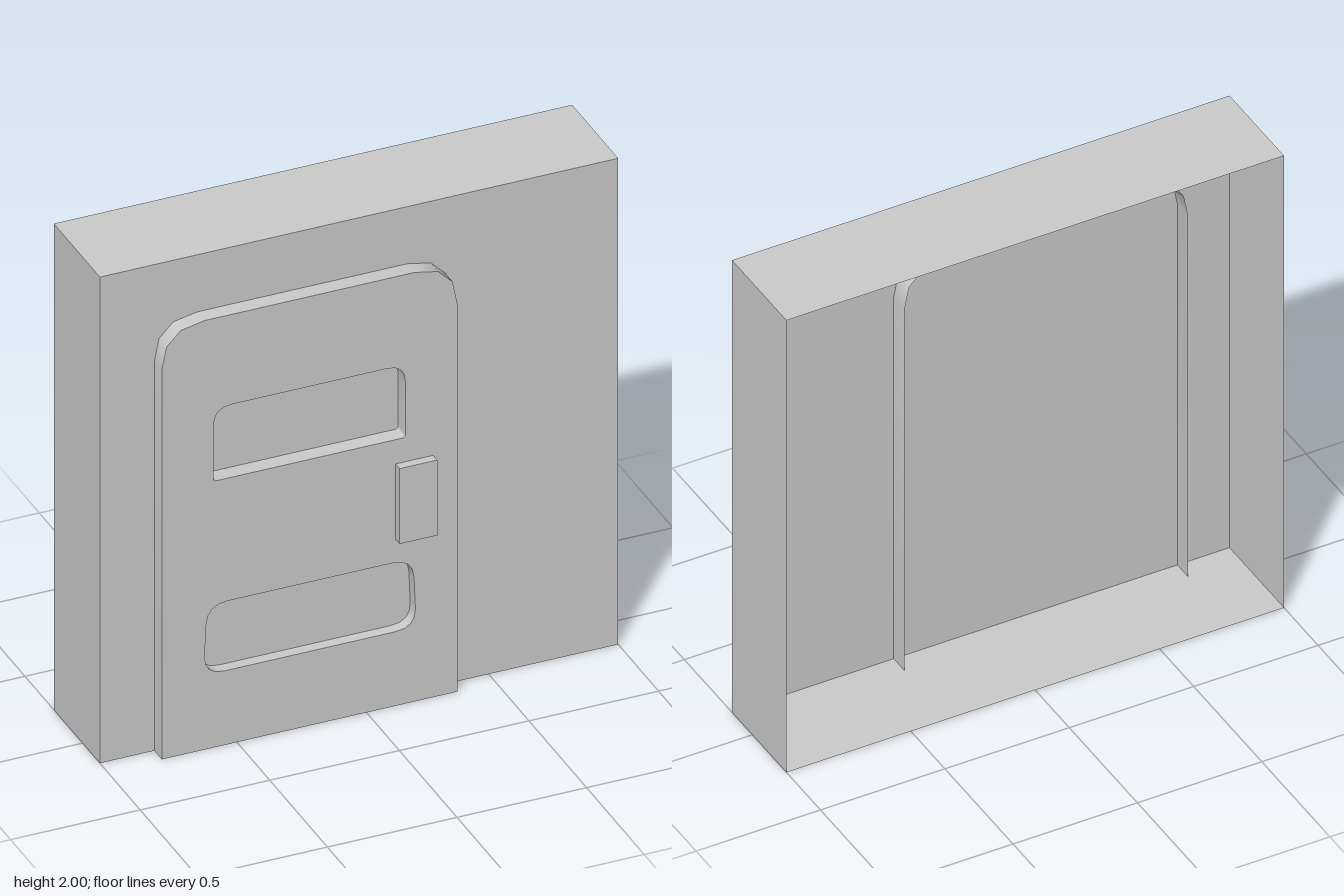
import * as THREE from 'three';
import { toCreasedNormals } from 'three/addons/utils/BufferGeometryUtils.js';

const material = new THREE.MeshStandardMaterial({ color: 0xcccccc, side: THREE.DoubleSide });

// Outline of a polygon whose corners [x, y, radius] are rounded off
function roundedOutline(corners, segments) {
  const points = [];
  corners.forEach(([x, y, r], i) => {
    const corner = new THREE.Vector2(x, y);
    if (!r) return points.push(corner);
    const towards = (other) => new THREE.Vector2(other[0], other[1]).sub(corner).setLength(r).add(corner);
    const before = towards(corners[(i + corners.length - 1) % corners.length]);
    const after = towards(corners[(i + 1) % corners.length]);
    points.push(...new THREE.QuadraticBezierCurve(before, corner, after).getPoints(segments));
  });
  return points;
}

// Band along a closed outline, from depth z0 to z1
function band(points, z0, z1) {
  const positions = [];
  points.forEach((a, i) => {
    const b = points[(i + 1) % points.length];
    positions.push(a.x, a.y, z0, b.x, b.y, z0, b.x, b.y, z1);
    positions.push(a.x, a.y, z0, b.x, b.y, z1, a.x, a.y, z1);
  });
  const geometry = new THREE.BufferGeometry();
  geometry.setAttribute('position', new THREE.Float32BufferAttribute(positions, 3));
  geometry.computeVertexNormals();
  return toCreasedNormals(geometry, 0.7);
}

// Flat plate at depth z, with optional holes
function plate(points, z, holes = []) {
  const shape = new THREE.Shape(points);
  shape.holes = holes.map((hole) => new THREE.Path(hole));
  return new THREE.ShapeGeometry(shape).translate(0, 0, z);
}

export function createModel() {
  const model = new THREE.Group();
  const add = (parent, name, geometry) => {
    const mesh = new THREE.Mesh(geometry, material);
    mesh.name = name;
    parent.add(mesh);
  };

  const wallZ = 0.15, backZ = -0.25, doorZ = 0.215, recessZ = 0.17;

  // Wall block, hollow and open at the back
  const wall = new THREE.Group();
  wall.name = 'wall';
  const square = roundedOutline([[-1, 0], [1, 0], [1, 2], [-1, 2]], 1);
  add(wall, 'wallFront', plate(square, wallZ));
  add(wall, 'wallSides', band(square, backZ, wallZ));

  // Door shell, pushed through the wall, with two recessed panels
  const door = new THREE.Group();
  door.name = 'door';
  const outline = roundedOutline([[-0.79, 0], [0.35, 0], [0.35, 1.765, 0.165], [-0.79, 1.765, 0.165]], 3);
  const upper = roundedOutline(
    [[-0.59, 1.095, 0.012], [0.15, 1.095, 0.012], [0.15, 1.395, 0.07], [-0.59, 1.395, 0.07]], 4);
  const lower = roundedOutline(
    [[-0.628, 0.305, 0.08], [0.192, 0.305, 0.08], [0.18, 0.59, 0.08], [-0.615, 0.59, 0.08]], 4);
  add(door, 'doorFront', plate(outline, doorZ, [upper, lower]));
  add(door, 'doorRim', band(outline, 0.07, doorZ));
  add(door, 'upperPanelRim', band(upper, wallZ, doorZ));
  add(door, 'lowerPanelRim', band(lower, recessZ, doorZ));
  add(door, 'lowerPanel', plate(lower, recessZ));

  // Latch plate
  add(door, 'latch', new THREE.BoxGeometry(0.145, 0.31, 0.035).translate(0.185, 0.84, doorZ + 0.0175));

  model.add(wall, door);
  // Centre the depth on z = 0
  return model;
}
